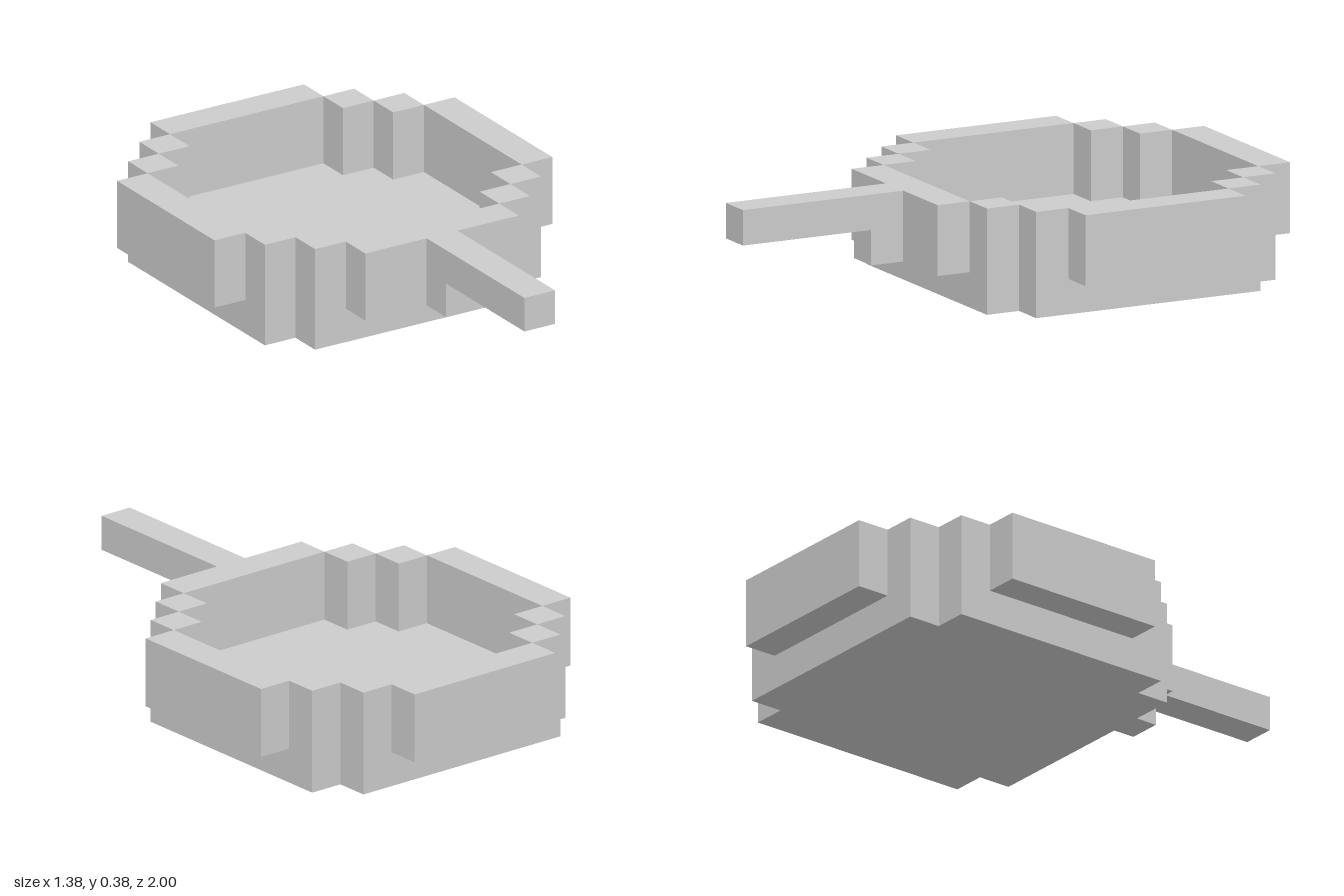
import * as THREE from 'three';

const U = 0.125; // one block of the model
const CENTRE_Z = -2.5 * U; // middle of the pan

const material = new THREE.MeshStandardMaterial({ color: 0xcccccc, flatShading: true });

function addMesh(parent, name, geometry) {
  const mesh = new THREE.Mesh(geometry, material);
  mesh.name = name;
  parent.add(mesh);
  return mesh;
}

// Box sized and placed in blocks
function addBox(parent, name, [w, h, d], [x, y, z]) {
  const mesh = addMesh(parent, name, new THREE.BoxGeometry(w * U, h * U, d * U));
  mesh.position.set(x * U, y * U, z * U);
}

// Prism from an outline given in blocks
function prism(points, depth) {
  const shape = new THREE.Shape(points.map(([x, y]) => new THREE.Vector2(x * U, y * U)));
  return new THREE.ExtrudeGeometry(shape, { depth: depth * U, bevelEnabled: false });
}

export function createModel() {
  const model = new THREE.Group();
  model.name = 'blockPan';

  const pan = new THREE.Group();
  pan.name = 'pan';
  pan.position.z = CENTRE_Z;
  model.add(pan);

  // Floor: square slab with a block cut from each corner
  const a = 4.5, b = 3.5;
  const floor = prism([
    [b, -a], [b, -b], [a, -b], [a, b], [b, b], [b, a],
    [-b, a], [-b, b], [-a, b], [-a, -b], [-b, -b], [-b, -a],
  ], 1);
  floor.rotateX(-Math.PI / 2);
  addMesh(pan, 'floor', floor);

  // Walls overhang the floor on all four sides
  for (const s of [-1, 1]) {
    addBox(pan, s > 0 ? 'leftWall' : 'rightWall', [1, 2, 5], [s * 5, 2, 0]);
    addBox(pan, s > 0 ? 'frontWall' : 'backWall', [5, 2, 1], [0, 2, s * 5]);
  }

  // Two stepped posts close each corner
  for (const sx of [-1, 1]) {
    for (const sz of [-1, 1]) {
      addBox(pan, 'cornerPost', [1, 2, 1], [sx * 4, 2, sz * 3]);
      addBox(pan, 'cornerPost', [1, 2, 1], [sx * 3, 2, sz * 4]);
    }
  }

  // Handle with a stepped bracket against the front wall
  const handle = prism([[3, 1], [4, 1], [4, 2], [8, 2], [8, 3], [3, 3]], 1);
  handle.rotateY(-Math.PI / 2);
  handle.translate(U / 2, 0, 0);
  addMesh(model, 'handle', handle);

  return model;
}
